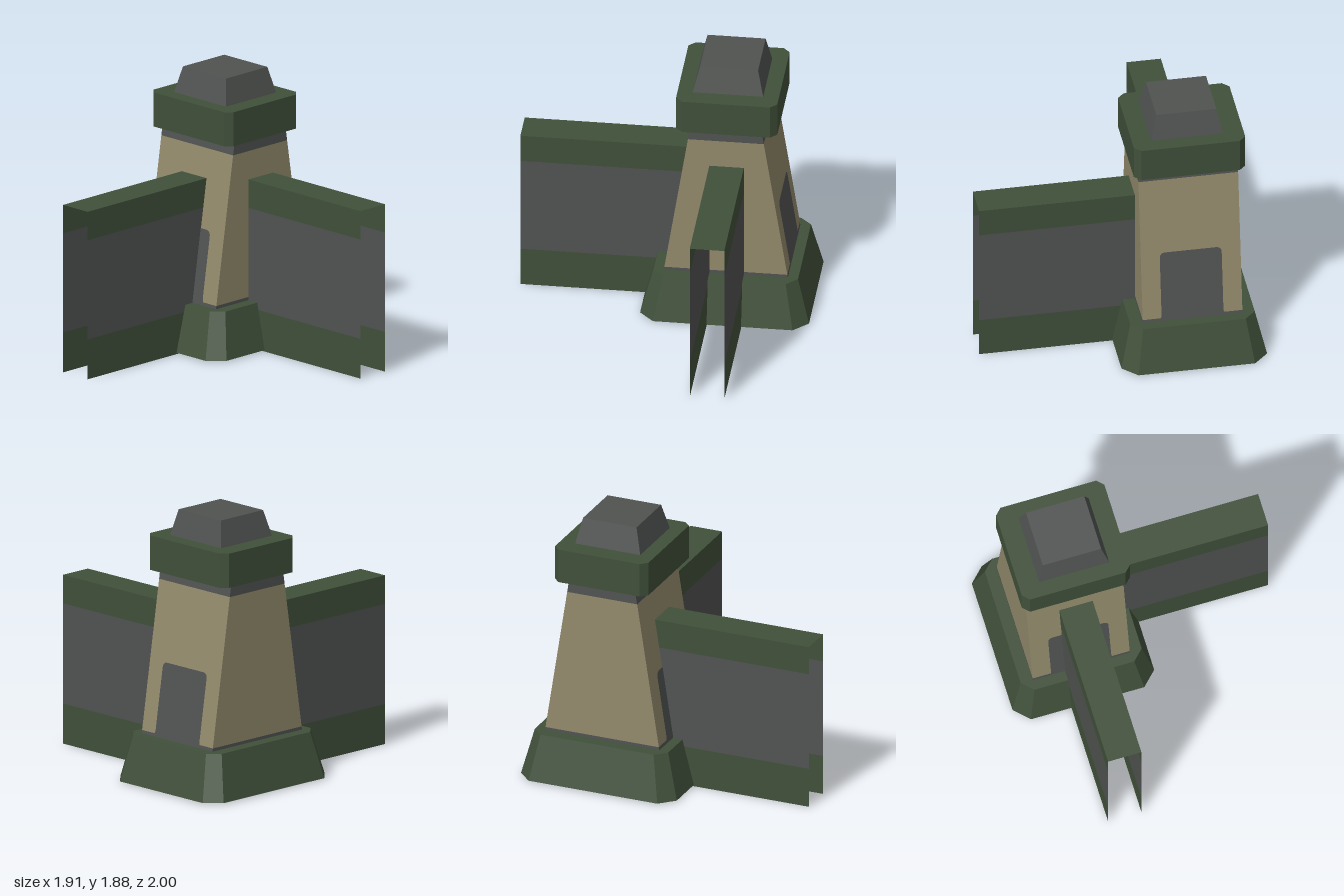
import * as THREE from 'three';

const mat = (name, color) => {
  const m = new THREE.MeshStandardMaterial({ color, side: THREE.DoubleSide });
  m.name = name;
  return m;
};

// Rectangle ring (x0..x1, z0..z1) at height y; c cuts the corners
function ring(y, x0, x1, z0, z1, c = 0) {
  const p = c
    ? [[x0 + c, z1], [x1 - c, z1], [x1, z1 - c], [x1, z0 + c], [x1 - c, z0], [x0 + c, z0], [x0, z0 + c], [x0, z1 - c]]
    : [[x0, z1], [x1, z1], [x1, z0], [x0, z0]];
  return p.map(([x, z]) => [x, y, z]);
}

// Faceted skin between two rings, optionally closed on top
function loft(a, b, cap) {
  const v = [];
  const n = a.length;
  for (let i = 0; i < n; i++) {
    const j = (i + 1) % n;
    v.push(...a[i], ...a[j], ...b[j], ...a[i], ...b[j], ...b[i]);
    if (cap && i > 0 && i < n - 1) v.push(...b[0], ...b[i], ...b[j]);
  }
  const g = new THREE.BufferGeometry();
  g.setAttribute('position', new THREE.Float32BufferAttribute(v, 3));
  g.computeVertexNormals();
  return g;
}

export function createModel() {
  const model = new THREE.Group();
  model.name = 'cornerTower';
  const green = mat('dark green', 0x40503a);
  const grey = mat('slate grey', 0x505351);
  const sand = mat('sand', 0x928a6b);
  const add = (name, geo, material, parent = model) => {
    const m = new THREE.Mesh(geo, material);
    m.name = name;
    parent.add(m);
    return m;
  };

  // Flared base with cut corners
  add('base', loft(ring(0.01, -0.96, 0.04, -1, 0.15, 0.1), ring(0.33, -0.885, -0.03, -0.92, 0.065, 0.075), true), green);

  // Tower shaft, tapering in z only, in three colour bands
  const zMid = -0.427;
  const half = y => 0.4175 - 0.156 * (y - 0.36);
  const shaft = y => ring(y, -0.8, -0.115, zMid - half(y), zMid + half(y));
  [[0.33, 0.352, grey, 'lowerTrim'], [0.352, 1.38, sand, 'shaft'], [1.38, 1.6, grey, 'upperTrim']]
    .forEach(([y0, y1, m, name]) => add(name, loft(shaft(y0), shaft(y1), false), m));

  // Rounded door panels lying on the sloping front and back
  const door = new THREE.Shape();
  door.moveTo(-0.695, 0.34);
  door.quadraticCurveTo(-0.67, 0.345, -0.67, 0.38);
  door.lineTo(-0.67, 0.8);
  door.quadraticCurveTo(-0.67, 0.84, -0.63, 0.84);
  door.lineTo(-0.285, 0.84);
  door.quadraticCurveTo(-0.245, 0.84, -0.245, 0.8);
  door.lineTo(-0.245, 0.38);
  door.quadraticCurveTo(-0.245, 0.345, -0.215, 0.34);
  for (const side of [1, -1]) {
    const g = new THREE.ShapeGeometry(door, 6);
    if (side < 0) {
      const idx = g.index.array;
      for (let i = 0; i < idx.length; i += 3) [idx[i], idx[i + 1]] = [idx[i + 1], idx[i]];
    }
    const p = g.attributes.position;
    for (let i = 0; i < p.count; i++) p.setZ(i, zMid + side * (half(p.getY(i)) + 0.003));
    g.computeVertexNormals();
    add(side > 0 ? 'frontDoor' : 'backDoor', g, grey);
  }

  // Overhanging parapet and roof block
  const parapet = y => ring(y, -0.84, -0.075, -0.777, -0.087, 0.045);
  add('parapet', loft(parapet(1.46), parapet(1.7), true), green);
  add('roof', loft(ring(1.7, -0.7, -0.205, -0.67, -0.19), ring(1.88, -0.66, -0.248, -0.63, -0.235), true), grey);

  // Hollow walls: two banded side sheets and a top sheet, open at ends and bottom
  function wall(name, length, width) {
    const g = new THREE.Group();
    g.name = name;
    const sheet = (n, w, h, m) => add(n, new THREE.PlaneGeometry(w, h), m, g);
    for (const s of [1, -1]) {
      for (const [y0, y1, m, n] of [[0, 0.28, green, 'lowerBand'], [0.28, 0.98, grey, 'middleBand'], [0.98, 1.18, green, 'upperBand']]) {
        const b = sheet(n, length, y1 - y0, m);
        b.position.set(length / 2, (y0 + y1) / 2, s * width / 2);
        if (s < 0) b.rotation.y = Math.PI;
      }
    }
    const top = sheet('wallTop', length, width, green);
    top.rotation.x = -Math.PI / 2;
    top.position.set(length / 2, 1.18, 0);
    model.add(g);
    return g;
  }
  wall('sideWall', 1.405, 0.235).position.set(-0.45, 0, -0.432);
  const front = wall('frontWall', 1.41, 0.235);
  front.rotation.y = -Math.PI / 2;
  front.position.set(-0.455, 0, -0.41);

  return model;
}
